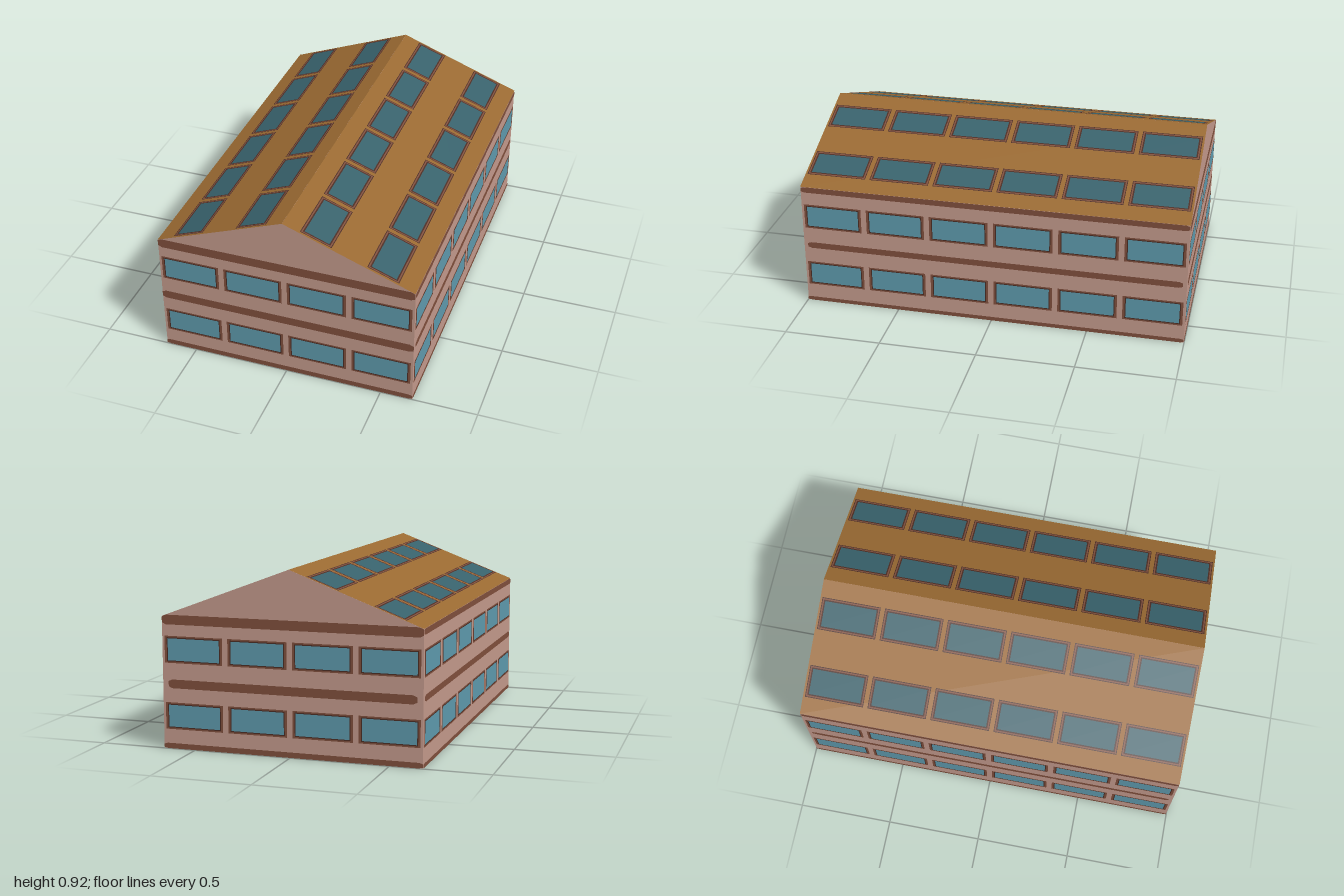
import * as THREE from 'three';

const W = 0.665, L = 0.998, EAVE = 0.665, PEAK = 0.916; // half width, half length, heights
const PITCH = 1 / 3; // spacing of windows
const PAINT = 0.0015; // height of painted details above the wall

const mat = (name, color) => {
  const m = new THREE.MeshStandardMaterial({ color });
  m.name = name;
  return m;
};

// Flat rectangular ring between an outer size and an inner size
const ring = (w, h, innerW, innerH) => {
  const rect = (P, a, b) => new P([
    new THREE.Vector2(-a, -b), new THREE.Vector2(a, -b),
    new THREE.Vector2(a, b), new THREE.Vector2(-a, b)]);
  const shape = rect(THREE.Shape, w / 2, h / 2);
  shape.holes.push(rect(THREE.Path, innerW / 2, innerH / 2));
  return new THREE.ShapeGeometry(shape);
};

export function createModel() {
  const wall = mat('pinkWall', 0xc59b8d);
  const trim = mat('brownTrim', 0x81503d);
  const dark = mat('darkEdge', 0x4c2d24);
  const glass = mat('blueGlass', 0x5f9bae);
  const roofBrown = mat('ochreRoof', 0x9a6a32);
  const roofGlass = mat('darkRoofGlass', 0x38626c);
  const floorBrown = mat('floorBrown', 0xb9744c);

  const model = new THREE.Group();
  model.name = 'longHouse';

  const add = (parent, name, geometry, material, x = 0, y = 0, z = 0) => {
    const mesh = new THREE.Mesh(geometry, material);
    mesh.name = name;
    mesh.position.set(x, y, z);
    parent.add(mesh);
    return mesh;
  };

  // Windows: a list of flat layers repeated along a row
  const windowRow = (parent, count, y, layers) => {
    for (let i = 0; i < count; i++) {
      const x = (i - (count - 1) / 2) * PITCH;
      for (const [name, geometry, material] of layers) add(parent, name, geometry, material, x, y, PAINT);
    }
  };

  // Painted band with slightly tapered ends
  const band = (parent, name, x0, x1, y0, y1) => {
    const t = 0.02, c = (y1 - y0) * 0.2;
    const shape = new THREE.Shape([
      [x0, y0 + c], [x0 + t, y0], [x1 - t, y0], [x1, y0 + c],
      [x1, y1 - c], [x1 - t, y1], [x0 + t, y1], [x0, y1 - c],
    ].map(([x, y]) => new THREE.Vector2(x, y)));
    add(parent, name, new THREE.ShapeGeometry(shape), trim, 0, 0, PAINT);
  };

  // Gabled body
  const profile = new THREE.Shape([[-W, 0.001], [W, 0.001], [W, EAVE], [0, PEAK], [-W, EAVE]]
    .map(([x, y]) => new THREE.Vector2(x, y)));
  const body = new THREE.ExtrudeGeometry(profile, { depth: 2 * L, bevelEnabled: false });
  add(model, 'walls', body, wall, 0, 0, -L);

  // Underside with a dark border
  const rim = 0.03;
  add(model, 'floor', new THREE.PlaneGeometry(2 * W - rim, 2 * L - rim), floorBrown).rotation.x = Math.PI / 2;
  add(model, 'floorBorder', ring(2 * W, 2 * L, 2 * W - rim, 2 * L - rim), dark).rotation.x = Math.PI / 2;

  // Four facades, each drawn in its own plane facing +z
  const wallWindow = [
    ['windowFrame', ring(0.305, 0.135, 0.282, 0.12), trim],
    ['windowFrameEdge', ring(0.282, 0.12, 0.272, 0.11), dark],
    ['windowPane', new THREE.PlaneGeometry(0.272, 0.11), glass],
  ];
  const gableBands = { base: 0.028, middle: [0.306, 0.35], eave: [0.624, 0.672] };
  const sideBands = { base: 0.022, middle: [0.316, 0.349], eave: [0.635, EAVE] };
  const facades = [
    { name: 'frontFacade', turn: 0, half: W, out: L, count: 4, inset: 0, bands: gableBands },
    { name: 'backFacade', turn: Math.PI, half: W, out: L, count: 4, inset: 0.03, bands: gableBands },
    { name: 'leftFacade', turn: Math.PI / 2, half: L, out: W, count: 6, inset: 0.02, bands: sideBands },
    { name: 'rightFacade', turn: -Math.PI / 2, half: L, out: W, count: 6, inset: 0.02, bands: sideBands },
  ];
  for (const { name, turn, half, out, count, inset, bands } of facades) {
    const facade = new THREE.Group();
    facade.name = name;
    facade.rotation.y = turn;
    facade.position.set(Math.sin(turn) * out, 0, Math.cos(turn) * out);
    model.add(facade);
    for (const y of [0.167, 0.5]) windowRow(facade, count, y, wallWindow);
    band(facade, 'baseBand', -half, half, 0.001, bands.base);
    band(facade, 'middleBand', -half + inset, half - inset, ...bands.middle);
    band(facade, 'eaveBand', -half, half, ...bands.eave);
  }

  // Two roof slopes with rows of skylights
  const rise = PEAK - EAVE, slope = Math.hypot(W, rise), stretch = slope / W;
  const skylight = [
    ['skylightOuterEdge', ring(0.31, 0.158 * stretch, 0.302, 0.15 * stretch), dark],
    ['skylightFrame', ring(0.302, 0.15 * stretch, 0.288, 0.137 * stretch), trim],
    ['skylightInnerEdge', ring(0.288, 0.137 * stretch, 0.274, 0.124 * stretch), dark],
    ['skylightPane', new THREE.PlaneGeometry(0.274, 0.124 * stretch), roofGlass],
  ];
  for (const side of [1, -1]) {
    const roof = new THREE.Group();
    roof.name = side > 0 ? 'leftRoof' : 'rightRoof';
    roof.rotation.order = 'YXZ';
    roof.rotation.set(-Math.atan2(W, rise), side * Math.PI / 2, 0);
    roof.position.set(side * W, EAVE, 0);
    model.add(roof);
    add(roof, 'roofSlope', new THREE.PlaneGeometry(2 * L + 0.002, slope), roofBrown, 0, slope / 2, 0.0005);
    for (const x of [0.5, 0.165]) windowRow(roof, 6, (W - x) * stretch, skylight);
  }

  return model;
}
